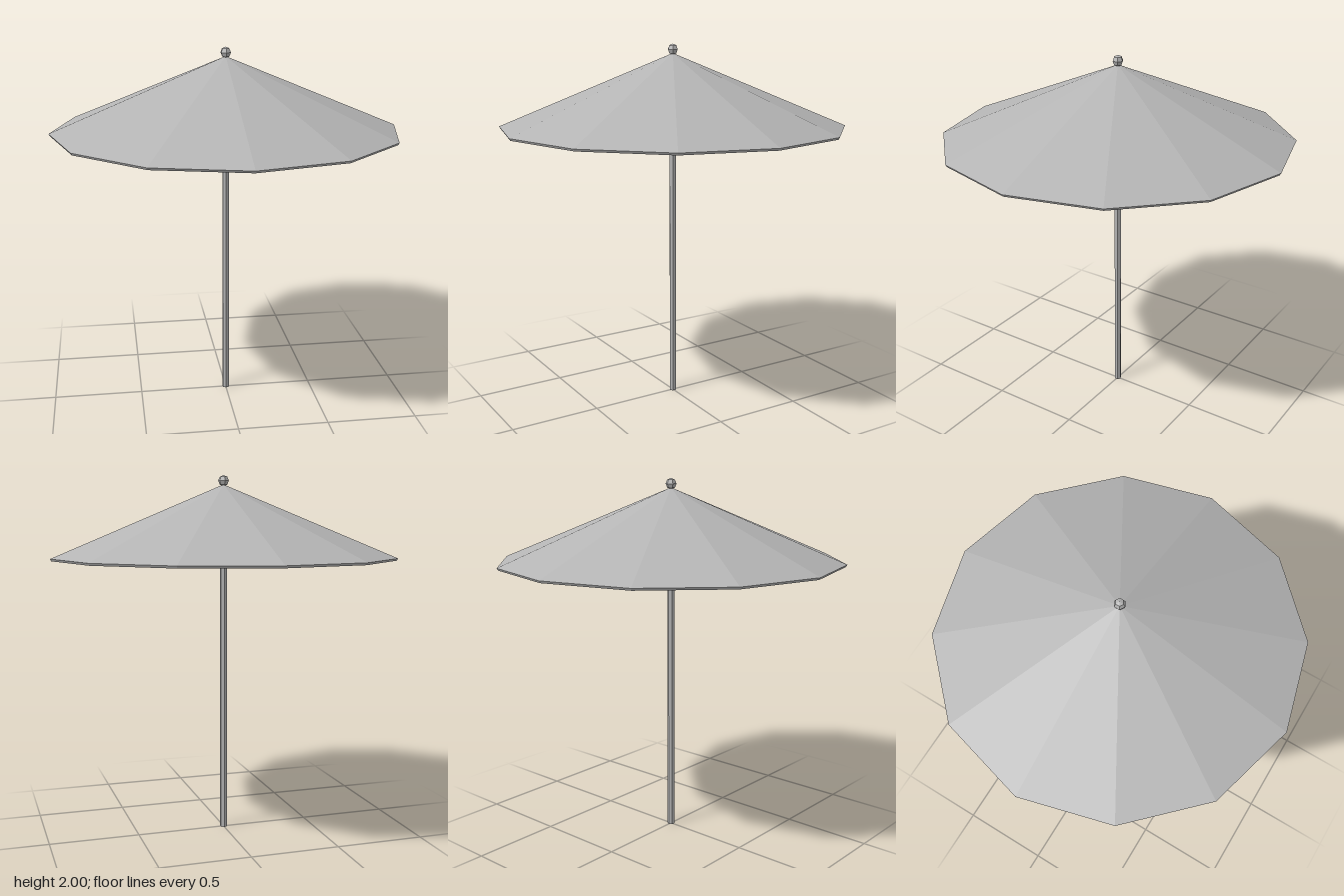
import * as THREE from 'three';

export function createModel() {
  const group = new THREE.Group();
  const grey = new THREE.MeshStandardMaterial({ color: 0xb4b4b4, flatShading: true, side: THREE.DoubleSide });
  grey.name = 'grey';

  const add = (name, geometry, y) => {
    const mesh = new THREE.Mesh(geometry, grey);
    mesh.name = name;
    mesh.position.y = y;
    group.add(mesh);
    return mesh;
  };

  const sides = 12, rimY = 1.557, apexY = 1.95, hemY = 1.545;

  // Twelve-panel canopy, open underneath
  add('canopy', new THREE.ConeGeometry(0.95, apexY - rimY, sides, 1, true), (apexY + rimY) / 2);

  // Narrow hem hanging from the canopy edge
  add('canopyHem', new THREE.CylinderGeometry(0.95, 0.943, rimY - hemY, sides, 1, true), (rimY + hemY) / 2);

  // Hexagonal pole, ending just below the peak
  const poleHeight = 1.84;
  add('pole', new THREE.CylinderGeometry(0.02, 0.02, poleHeight, 6), poleHeight / 2);

  // Faceted ball on the peak
  add('finial', new THREE.SphereGeometry(0.03, 6, 4), 1.97).rotation.y = Math.PI / 6;

  return group;
}
